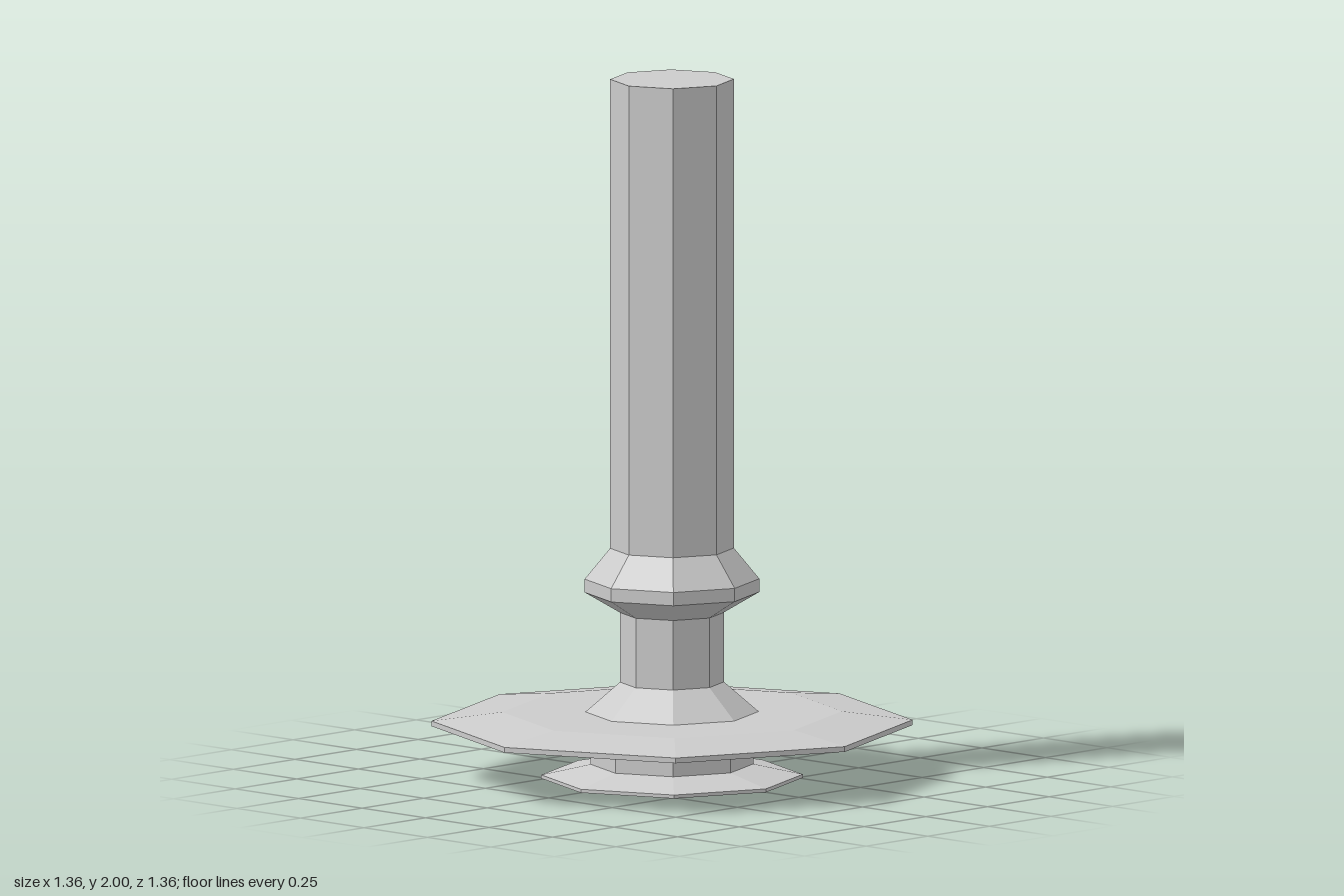
import * as THREE from 'three';

const SIDES = 8;

// Profiles as [radius, height], running upward so the faces point outward
const parts = {
  foot: [[0, 0], [0.37, 0], [0.37, 0.01], [0.23, 0.04], [0.23, 0.1]],
  disc: [[0.23, 0.1], [0.68, 0.15], [0.68, 0.165], [0.48, 0.19], [0.245, 0.19]],
  neck: [[0.245, 0.19], [0.147, 0.275], [0.147, 0.474]],
  collar: [[0.147, 0.474], [0.247, 0.532], [0.247, 0.57], [0.175, 0.658]],
  shaft: [[0.175, 0.658], [0.175, 2], [0, 2]],
};

export function createModel() {
  const group = new THREE.Group();
  group.name = 'octagonalPost';
  const material = new THREE.MeshStandardMaterial({ color: 0xcccccc, flatShading: true });

  // Each part is an eight-sided turning that meets the next one edge to edge
  for (const [name, profile] of Object.entries(parts)) {
    const points = profile.map(([r, y]) => new THREE.Vector2(r, y));
    const mesh = new THREE.Mesh(new THREE.LatheGeometry(points, SIDES), material);
    mesh.name = name;
    group.add(mesh);
  }
  return group;
}
